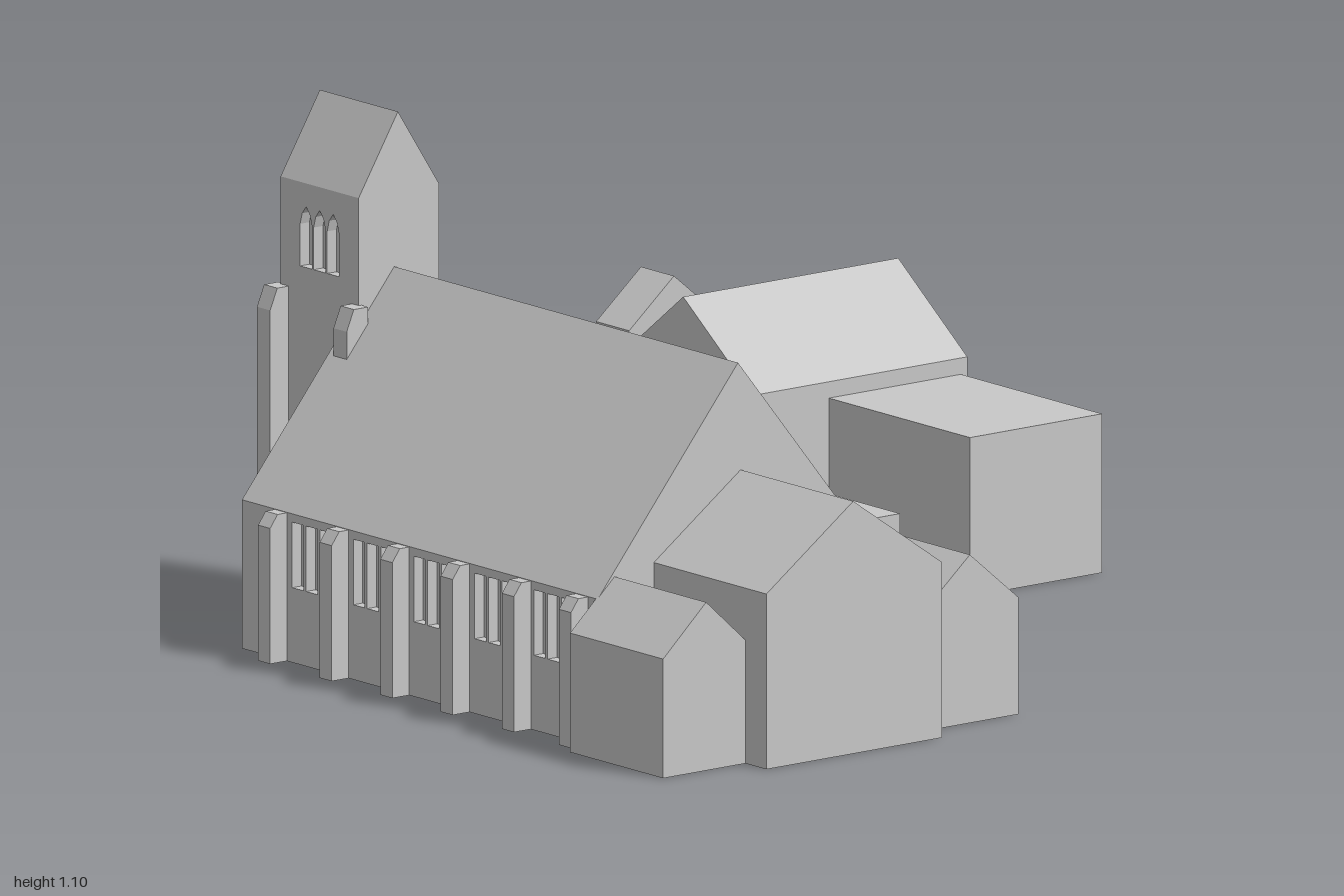
import * as THREE from 'three';

export function createModel() {
  const model = new THREE.Group();
  model.name = 'church';
  const stone = new THREE.MeshStandardMaterial({ color: 0xc8c8c8 });
  stone.name = 'stone';

  const add = (name, geometry) => {
    const mesh = new THREE.Mesh(geometry, stone);
    mesh.name = name;
    model.add(mesh);
    return mesh;
  };

  // Extrude a profile along x (points are z, y) or along z (points are x, y)
  const extrude = (name, axis, points, from, to, holes = []) => {
    const sign = axis === 'x' ? -1 : 1;
    const vectors = (list) => list.map(([a, y]) => new THREE.Vector2(sign * a, y));
    const shape = new THREE.Shape(vectors(points));
    shape.holes = holes.map((hole) => new THREE.Path(vectors(hole)));
    const geometry = new THREE.ExtrudeGeometry(shape, { depth: to - from, bevelEnabled: false });
    if (axis === 'x') geometry.rotateY(Math.PI / 2).translate(from, 0, 0);
    else geometry.translate(0, 0, from);
    return add(name, geometry);
  };

  const box = (name, x0, x1, y0, y1, z0, z1) => {
    const geometry = new THREE.BoxGeometry(x1 - x0, y1 - y0, z1 - z0);
    geometry.translate((x0 + x1) / 2, (y0 + y1) / 2, (z0 + z1) / 2);
    return add(name, geometry);
  };

  const rect = (a0, a1, y0, y1) => [[a0, y0], [a1, y0], [a1, y1], [a0, y1]];
  const gable = (a0, a1, eave, ridge, mid = (a0 + a1) / 2) =>
    [[a0, 0], [a1, 0], [a1, eave], [mid, ridge], [a0, eave]];
  // Pointed window outline
  const lancet = (mid, width, y0, y1) => {
    const h = width / 2, spring = y1 - width;
    return [[mid - h, y0], [mid + h, y0], [mid + h, spring], [mid + h * 0.65, y1 - h * 0.8],
      [mid, y1], [mid - h * 0.65, y1 - h * 0.8], [mid - h, spring]];
  };

  // Nave: inner core, gabled roof, side walls with recessed windows
  const eave = 0.318;
  box('naveCore', -0.58, 0.61, 0, eave, 0.215, 0.905);
  extrude('naveRoof', 'x', [[0.19, eave], [0.93, eave], [0.555, 0.77]], -0.575, 0.61);
  const buttressX = [-0.445, -0.24, -0.038, 0.163, 0.367, 0.557];
  const naveWindows = [];
  for (let i = 0; i < 5; i++) {
    const mid = (buttressX[i] + buttressX[i + 1]) / 2;
    for (const k of [-1, 0, 1]) {
      const x = mid + k * 0.046;
      naveWindows.push(rect(x - 0.019, x + 0.019, 0.16, 0.3));
    }
  }
  extrude('naveFrontWall', 'z', rect(-0.575, 0.61, 0, eave), 0.905, 0.93, naveWindows);
  extrude('naveBackWall', 'z', rect(-0.575, 0.61, 0, eave), 0.19, 0.215, naveWindows);

  // Nave buttresses, mirrored front and back
  for (const s of [1, -1]) {
    const profile = [[0.36, 0], [0.415, 0], [0.415, 0.29], [0.395, 0.317], [0.36, 0.317]]
      .map(([z, y]) => [0.56 + s * z, y]);
    for (const x of buttressX) extrude('naveButtress', 'x', profile, x - 0.02, x + 0.02);
  }

  // Chancel and its two side chapels
  extrude('chancel', 'x', gable(0.31, 0.78, 0.375, 0.54, 0.548), 0.6, 0.985);
  extrude('frontChapel', 'x', gable(0.77, 1, 0.255, 0.36), 0.605, 0.915);
  extrude('backChapel', 'x', gable(0.05, 0.31, 0.25, 0.36), 0.605, 0.915);

  // Tower with gabled cap and recessed pointed windows
  const tz0 = 0.435, tz1 = 0.65, tEave = 0.93, tMid = 0.545;
  box('towerCore', -0.77, -0.535, 0, tEave, tz0 + 0.025, tz1 - 0.025);
  const belfry = [-0.71, -0.665, -0.62].map((x) => lancet(x, 0.04, 0.75, 0.88));
  extrude('towerFrontWall', 'z', rect(-0.77, -0.535, 0, tEave), tz1 - 0.025, tz1, belfry);
  extrude('towerBackWall', 'z', rect(-0.77, -0.535, 0, tEave), tz0, tz0 + 0.025, belfry);
  extrude('towerWestWall', 'x', rect(tz0, tz1, 0, tEave), -0.795, -0.77,
    [lancet(tMid, 0.065, 0.08, 0.28), lancet(tMid, 0.065, 0.56, 0.75)]);
  extrude('towerRoof', 'x', [[tz0, tEave], [tz1, tEave], [tMid, 1.1]], -0.795, -0.535);
  for (const s of [1, -1]) {
    const profile = [[0.1, 0], [0.157, 0], [0.157, 0.655], [0.138, 0.7], [0.1, 0.7]]
      .map(([z, y]) => [0.5425 + s * z, y]);
    for (const x of [-0.79, -0.535]) extrude('towerButtress', 'x', profile, x - 0.022, x + 0.022);
  }

  // Stair turret with pyramid roof
  box('turret', -0.55, -0.34, 0, 0.3, 0.03, 0.23);
  const pyramid = new THREE.ConeGeometry(Math.SQRT1_2, 0.1, 4, 1).toNonIndexed();
  pyramid.rotateY(Math.PI / 4).scale(0.21, 1, 0.2).translate(-0.445, 0.35, 0.13);
  pyramid.computeVertexNormals();
  add('turretRoof', pyramid);

  // Flat-roofed link to the hall
  box('link', -0.475, -0.015, 0, 0.2, -0.38, 0.2);

  // Hall with gabled roof and west windows
  box('hallCore', -0.895, -0.47, 0, 0.375, -0.925, -0.35);
  extrude('hallWestWall', 'x', rect(-0.925, -0.35, 0, 0.375), -0.92, -0.895,
    [-0.86, -0.77, -0.68].map((z) => lancet(z, 0.05, 0.12, 0.31)));
  extrude('hallRoof', 'z', [[-0.92, 0.375], [-0.47, 0.375], [-0.7, 0.545]], -0.925, -0.35);

  // Hall side wing, porch tower and rear store
  box('hallWing', -0.48, 0, 0, 0.34, -0.908, -0.555);
  extrude('porchTower', 'x', gable(-0.59, -0.35, 0.44, 0.54), -0.99, -0.88);
  box('rearStore', -0.54, -0.47, 0, 0.2, -1, -0.92);

  return model;
}
